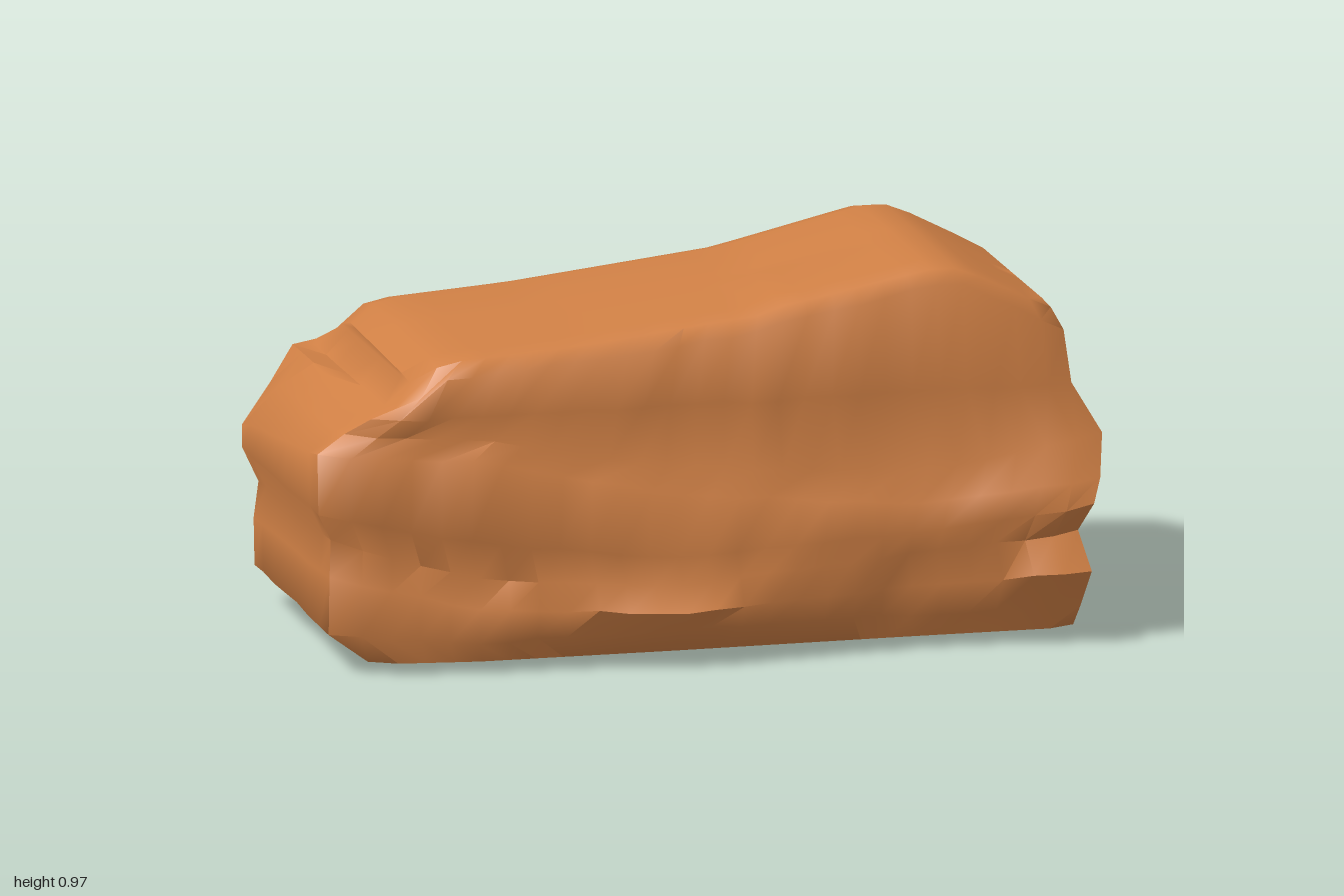
import * as THREE from 'three';
import { toCreasedNormals } from 'three/addons/utils/BufferGeometryUtils.js';

// Piecewise linear curve through [x, value] points
function curve(points, x) {
  if (x <= points[0][0]) return points[0][1];
  for (let i = 1; i < points.length; i++) {
    const [x0, a] = points[i - 1], [x1, b] = points[i];
    if (x <= x1) return a + (b - a) * (x - x0) / (x1 - x0);
  }
  return points[points.length - 1][1];
}

// A layer value is either constant or given at five stations along x
const STATIONS = [-1, -0.6, -0.1, 0.5, 1];
const alongX = (value, x) => (Array.isArray(value) ? curve(STATIONS.map((s, i) => [s, value[i]]), x) : value);

// Skyline of the boulder
const SKYLINE = [[-1, 0.58], [-0.86, 0.68], [-0.68, 0.795], [-0.33, 0.82], [0.2, 0.88],
  [0.57, 0.965], [0.65, 0.965], [0.9, 0.84], [1, 0.78]];
const top = (x) => curve(SKYLINE, x);

// Shallow belly of the underside, and the raised patch on the back face
const BELLY = [[-0.6, 0.025], [-0.18, 0], [0.2, 0], [0.5, 0.025]];
const BACK_SLAB = [[-0.16, 0], [-0.07, 1], [0.4, 1], [0.48, 0]];

// Tilted strata from base upwards: end positions, front height and depth, back height and depth
const STRATA = [
  { l: -0.87, r: 0.94, y: 0.03, z: [0.37, 0.42, 0.42, 0.41, 0.41], by: 0.025, bz: -0.45 },
  { l: -0.97, r: 0.945, y: [0.11, 0.08, 0.1, 0.09, 0.09], z: [0.38, 0.44, 0.48, 0.43, 0.45], by: 0.1, bz: -0.47, slab: 0.05 },
  { l: -0.97, r: 0.945, y: [0.26, 0.17, 0.15, 0.17, 0.2], z: [0.39, 0.45, 0.53, 0.45, 0.54], by: 0.22, bz: -0.48, slab: 0.05 },
  { l: -0.96, r: 0.935, y: [0.35, 0.24, 0.21, 0.25, 0.29], z: [0.36, 0.41, 0.48, 0.45, 0.46], by: 0.31, bz: -0.47, slab: 0.055 },
  { l: -1, r: 0.95, y: [0.42, 0.34, 0.28, 0.31, 0.37], z: [0.4, 0.455, 0.48, 0.47, 0.54], by: 0.4, bz: -0.48, slab: 0.05 },
  { l: -1, r: 0.975, y: [0.57, 0.55, 0.44, 0.38, 0.43], z: [0.39, 0.455, 0.455, 0.45, 0.51], by: 0.46, bz: -0.48 },
  { l: -0.93, r: 1, y: [0.62, 0.6, 0.5, 0.45, 0.53], z: [0.38, 0.415, 0.41, 0.415, 0.45], by: 0.57, bz: -0.465 },
  { l: -0.87, r: 0.93, y: 0.66, z: 0.425, by: 0.66, bz: -0.48 },
];
// Crown layers follow the skyline at a drop below it
const CROWN = [
  { l: -0.81, r: 0.915, drop: 0.04, z: 0.405, by: 0.06, bz: -0.465 },
  { l: -0.76, r: 0.89, drop: 0.004, z: 0.375, by: 0.025, bz: -0.415 },
];

const LONG = 26, SHORT = 7;

// Outline of one layer, anticlockwise seen from above; spread < 1 closes the caps
function outline(layer, spread, rough) {
  const { l, r, y, z, by, bz, drop, slab = 0 } = layer;
  const crown = drop !== undefined;
  const ring = [];
  const add = (u, v, corner) => {
    const x = l + (r - l) * u;
    const chamfer = corner ? 0.03 : 0;
    const front = alongX(z, x) - chamfer;
    const back = bz - slab * curve(BACK_SLAB, x) + chamfer;
    const depth = (back + (front - back) * v) * spread;
    const frontY = crown ? top(x) - drop : Math.min(alongX(y, x), top(x) - 0.01);
    const backY = crown ? top(x) - by : Math.min(by, top(x) - 0.01);
    const cap = crown ? top(x) : curve(BELLY, x);
    const height = spread < 1 ? cap : backY + (frontY - backY) * v;
    // Right end slants back, most strongly below the crown
    const skew = (crown ? 0.03 : 0.1) * u * u * u * (0.4 - depth) / 0.85;
    // Small broken step on the front half of the crown
    const step = crown && x > 0.18 && x < 0.6 && depth > 0.05 ? 0.014 * (0.6 - x) / 0.4 : 0;
    ring.push([
      x - skew,
      height + step + rough() * 0.008,
      depth + rough() * (corner ? 0 : 0.012),
    ]);
  };
  for (let i = 0; i <= LONG; i++) add(i / LONG, 1, i === 0 || i === LONG);
  for (let j = 1; j < SHORT; j++) add(1, 1 - j / SHORT, false);
  for (let i = LONG; i >= 0; i--) add(i / LONG, 0, i === 0 || i === LONG);
  for (let j = 1; j < SHORT; j++) add(0, j / SHORT, false);
  return ring;
}

function boulderGeometry() {
  let seed = 17;
  const random = () => {
    seed = (seed * 16807) % 2147483647;
    return seed / 2147483647 - 0.5;
  };
  const still = () => 0;
  const [base, ...sides] = STRATA;
  const [shoulder, crest] = CROWN;
  const rings = [
    ...[0, 0.65, 1].map((spread) => outline(base, spread, still)),
    ...[...sides, shoulder].map((layer) => outline(layer, 1, random)),
    ...[1, 0.75, 0.15, 0].map((spread) => outline(crest, spread, still)),
  ];

  // Skin the stack of outlines
  const n = rings[0].length;
  const index = [];
  for (let k = 0; k < rings.length - 1; k++) {
    for (let i = 0; i < n; i++) {
      const a = k * n + i, b = k * n + (i + 1) % n;
      index.push(a, b, b + n, a, b + n, a + n);
    }
  }
  const geometry = new THREE.BufferGeometry();
  geometry.setAttribute('position', new THREE.Float32BufferAttribute(rings.flat(2), 3));
  geometry.setIndex(index);
  return toCreasedNormals(geometry, 1);
}

export function createModel() {
  const group = new THREE.Group();
  group.name = 'boulder';
  const sandstone = new THREE.MeshStandardMaterial({ color: 0xd08045 });
  sandstone.name = 'sandstone';
  const rock = new THREE.Mesh(boulderGeometry(), sandstone);
  rock.name = 'layeredRock';
  group.add(rock);
  return group;
}
